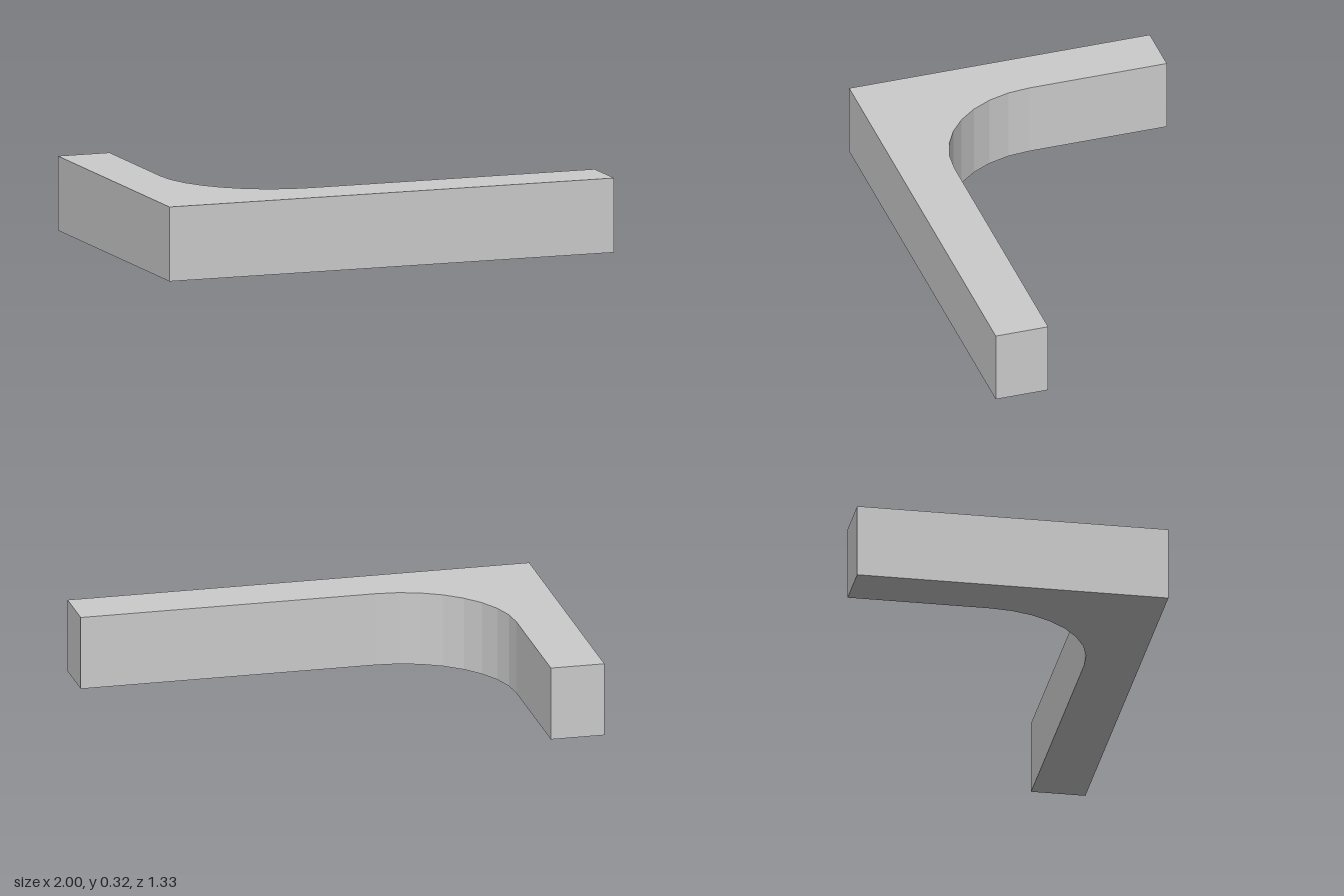
import * as THREE from 'three';

export function createModel() {
  const group = new THREE.Group();
  group.name = 'cornerBracket';

  const height = 0.318;
  const front = 0.665, back = -0.665;  // z extents
  const thickness = 0.232;             // width of each arm
  const radius = 0.49;                 // inner fillet
  const innerX = -1 + thickness;
  const innerY = -front + thickness;

  // L-shaped plan with a filleted inner corner (shape y is -z)
  const plan = new THREE.Shape();
  plan.moveTo(-1, -front);
  plan.lineTo(1, -front);
  plan.lineTo(1, innerY);
  plan.lineTo(innerX + radius, innerY);
  plan.absarc(innerX + radius, innerY + radius, radius, -Math.PI / 2, -Math.PI, true);
  plan.lineTo(innerX, -back);
  plan.lineTo(-1, -back);
  plan.closePath();

  // Raise the plan into a solid; the fillet has eight flat facets
  const geometry = new THREE.ExtrudeGeometry(plan, {
    depth: height, bevelEnabled: false, curveSegments: 4,
  });
  geometry.rotateX(-Math.PI / 2);

  const bracket = new THREE.Mesh(
    geometry,
    new THREE.MeshStandardMaterial({ color: 0xcccccc, flatShading: true }),
  );
  bracket.name = 'bracketBody';
  group.add(bracket);
  return group;
}
